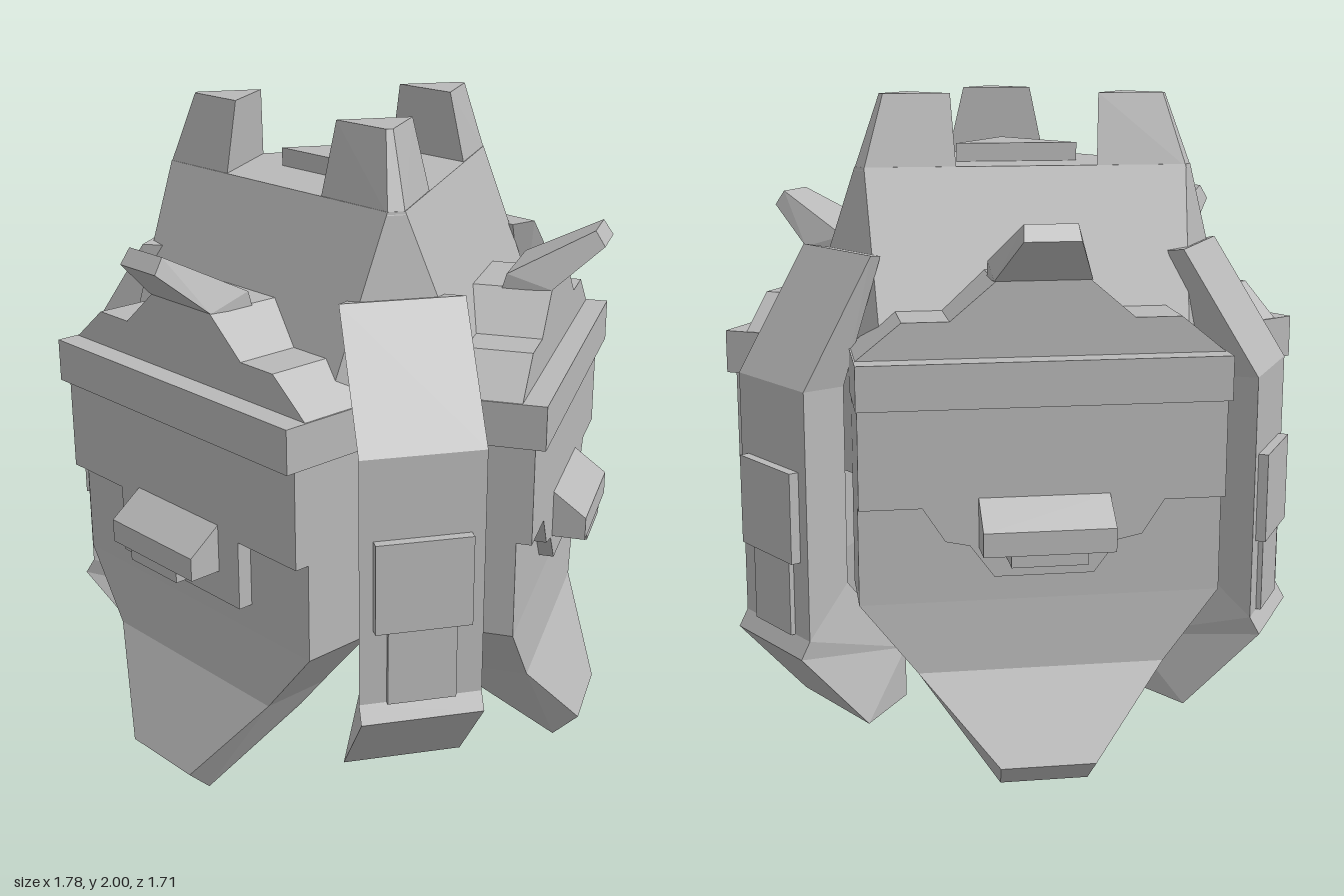
import * as THREE from 'three';
import { ConvexGeometry } from 'three/addons/geometries/ConvexGeometry.js';

const grey = new THREE.MeshStandardMaterial({ color: 0xb8b8b8 });
grey.name = 'stone grey';

function add(parent, name, geometry) {
  const mesh = new THREE.Mesh(geometry, grey);
  mesh.name = name;
  parent.add(mesh);
  return mesh;
}

// Convex solid from [half width, height, distance outward], mirrored left and right
function hull(points) {
  return new ConvexGeometry(points.flatMap(([w, y, r]) =>
    w === 0 ? [new THREE.Vector3(0, y, r)] : [new THREE.Vector3(w, y, r), new THREE.Vector3(-w, y, r)]));
}

// Front outline (right half, top to bottom) mirrored and extruded between two distances
function slab(half, near, far) {
  const outline = [...half, ...half.slice().reverse().map(([x, y]) => [-x, y])];
  const shape = new THREE.Shape(outline.map(([x, y]) => new THREE.Vector2(x, y)));
  return new THREE.ExtrudeGeometry(shape, { depth: far - near, bevelEnabled: false }).translate(0, 0, near);
}

// Side profile [distance outward, height] extruded across a width
function sideProfile(profile, width) {
  const shape = new THREE.Shape(profile.map(([r, y]) => new THREE.Vector2(r, y)));
  return new THREE.ExtrudeGeometry(shape, { depth: width, bevelEnabled: false })
    .translate(0, 0, -width / 2).rotateY(-Math.PI / 2);
}

// Three-sided solid with cut corners; each level is [height, corner distance, corner half width]
function triangular(levels) {
  const points = [];
  for (const [y, r, w] of levels) {
    for (let i = 0; i < 3; i++) {
      const a = Math.PI / 3 + i * Math.PI * 2 / 3;
      for (const s of [-1, 1]) {
        points.push(new THREE.Vector3(
          r * Math.sin(a) + s * w * Math.cos(a), y, r * Math.cos(a) - s * w * Math.sin(a)));
      }
    }
  }
  return new ConvexGeometry(points);
}

// Lower edge of the visor: square on the front face, stepped on the other two
const squareVisor = [[0.53, 1.16], [0.53, 0.865], [0.28, 0.865], [0.28, 0.655]];
const steppedVisor = [[0.53, 1.16], [0.53, 0.865], [0.35, 0.865], [0.285, 0.765], [0.215, 0.75], [0.145, 0.655]];

// One face: brow, visor, grip, jaw and crest
function makeFace(visor, chinLift) {
  const face = new THREE.Group();
  face.name = 'facePanel';
  add(face, 'cheekPlate', slab([[0.53, 1.2], [0.53, 0.57]], 0.42, 0.645));
  add(face, 'jaw', hull([[0.53, 0.57, 0.645], [0.53, 0.57, 0.42], [0.363, 0.36, 0.66], [0.363, 0.36, 0.45]]));
  add(face, 'chin', hull([[0.363, 0.36, 0.66], [0.363, 0.36, 0.45], [0.3, 0.27, 0.48],
    [0.14, 0.08 + chinLift, 0.79], [0.13, chinLift, 0.71]]));
  add(face, 'visor', slab(visor, 0.63, 0.69));
  add(face, 'brow', slab([[0.535, 1.285], [0.535, 1.155]], 0.42, 0.72));
  add(face, 'forehead', slab([[0.135, 1.5], [0.265, 1.39], [0.4, 1.39], [0.53, 1.285]], 0.4, 0.65));
  add(face, 'crest', hull([[0.14, 1.5, 0.65], [0.14, 1.49, 0.5], [0.14, 1.54, 0.515],
    [0.075, 1.67, 0.76], [0.08, 1.625, 0.79]]));
  add(face, 'grip', sideProfile([[0.68, 0.89], [0.69, 0.89], [0.79, 0.815], [0.79, 0.745], [0.68, 0.745]], 0.38));
  add(face, 'gripBase', sideProfile([[0.68, 0.75], [0.785, 0.75], [0.785, 0.71], [0.68, 0.71]], 0.22));
  return face;
}

// One corner strap, narrowing inward, with its plates
function makeStrap() {
  const strap = new THREE.Group();
  strap.name = 'cornerStrap';
  // Each section: outer edge, then inner edge
  const sections = [
    [[0.18, 1.555, 0.62], [0.14, 1.545, 0.56]],
    [[0.18, 1.19, 0.855], [0.1, 1.17, 0.67]],
    [[0.18, 0.45, 0.855], [0.1, 0.57, 0.67]],
    [[0.18, 0.4, 0.885], [0.07, 0.3, 0.44]],
    [[0.18, 0.14, 0.655], [0.07, 0.14, 0.44]],
  ];
  for (let i = 0; i < sections.length - 1; i++) {
    add(strap, 'strapSegment', hull([...sections[i], ...sections[i + 1]]));
  }
  add(strap, 'upperPlate', slab([[0.14, 0.95], [0.14, 0.68]], 0.84, 0.885));
  add(strap, 'lowerPlate', slab([[0.1, 0.68], [0.1, 0.45]], 0.84, 0.87));
  return strap;
}

export function createModel() {
  const model = new THREE.Group();
  model.name = 'threeFacedHead';
  const axis = new THREE.Group();
  axis.name = 'head';
  axis.position.z = 0.06;
  model.add(axis);

  // Inner body and crown; the space between the jaws stays open
  add(axis, 'core', triangular([[0.9, 0.66, 0.26], [1.28, 0.66, 0.26]]));
  const crown = new THREE.Group();
  crown.name = 'crown';
  crown.position.z = 0.01;
  axis.add(crown);
  add(crown, 'crownBody', triangular([[1.25, 0.65, 0.22], [1.4, 0.61, 0.13], [1.54, 0.6, 0.085], [1.79, 0.57, 0.025]]));
  const deck = new THREE.CylinderGeometry(0.215, 0.215, 0.06, 3).rotateY(Math.PI).toNonIndexed();
  deck.computeVertexNormals();
  add(crown, 'deckPlate', deck).position.y = 1.815;

  for (let i = 0; i < 3; i++) {
    const angle = i * Math.PI * 2 / 3;

    const face = i === 0 ? makeFace(squareVisor, 0) : makeFace(steppedVisor, 0.025);
    face.rotation.y = angle;
    face.position.z = i === 0 ? 0.015 : 0;
    axis.add(face);

    const corner = angle + Math.PI;
    const strap = makeStrap();
    strap.rotation.y = corner;
    strap.position.z = i === 0 ? -0.025 : 0;
    axis.add(strap);

    // Crown peak rising from each corner, flush with the crown walls
    const peak = add(crown, 'crownPeak', hull([[0.025, 1.78, 0.572], [0.16, 1.78, 0.335],
      [0.01, 2, 0.49], [0.11, 2, 0.32]]));
    peak.rotation.y = corner;
  }
  return model;
}
